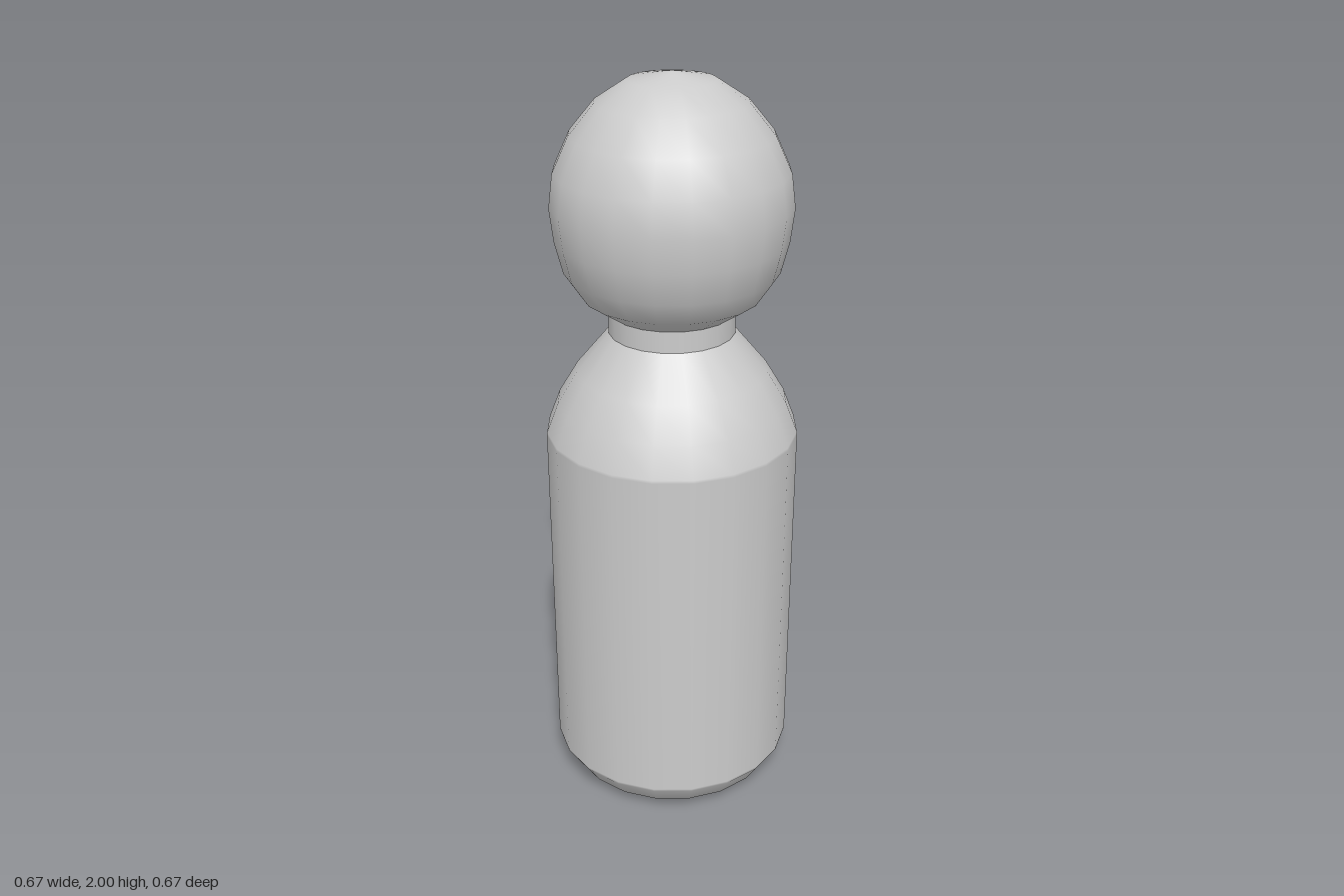
import * as THREE from 'three';

const SIDES = 20;

// Turned part from [radius, height] points, listed from the bottom up
function turned(name, profile, material) {
  const points = profile.map(([r, y]) => new THREE.Vector2(r, y));
  const mesh = new THREE.Mesh(new THREE.LatheGeometry(points, SIDES), material);
  mesh.name = name;
  return mesh;
}

export function createModel() {
  const material = new THREE.MeshStandardMaterial({ color: 0xcccccc });
  const model = new THREE.Group();
  model.name = 'pegDoll';

  // Separate parts keep the edges of the base and neck sharp
  const parts = {
    base: [[0, 0], [0.25, 0]],
    // rounded foot, straight wall, curved shoulders
    body: [
      [0.25, 0], [0.297, 0.037], [0.334, 0.095], [0.335, 0.102],
      [0.335, 1.062], [0.334, 1.07], [0.303, 1.15], [0.252, 1.235], [0.165, 1.34],
    ],
    neck: [[0.165, 1.34], [0.165, 1.397]],
    head: [
      [0.165, 1.397], [0.233, 1.443], [0.276, 1.507], [0.297, 1.59], [0.307, 1.676],
      [0.296, 1.762], [0.255, 1.85], [0.19, 1.928], [0.11, 1.98], [0, 2],
    ],
  };
  for (const [name, profile] of Object.entries(parts)) {
    model.add(turned(name, profile, material));
  }
  return model;
}
